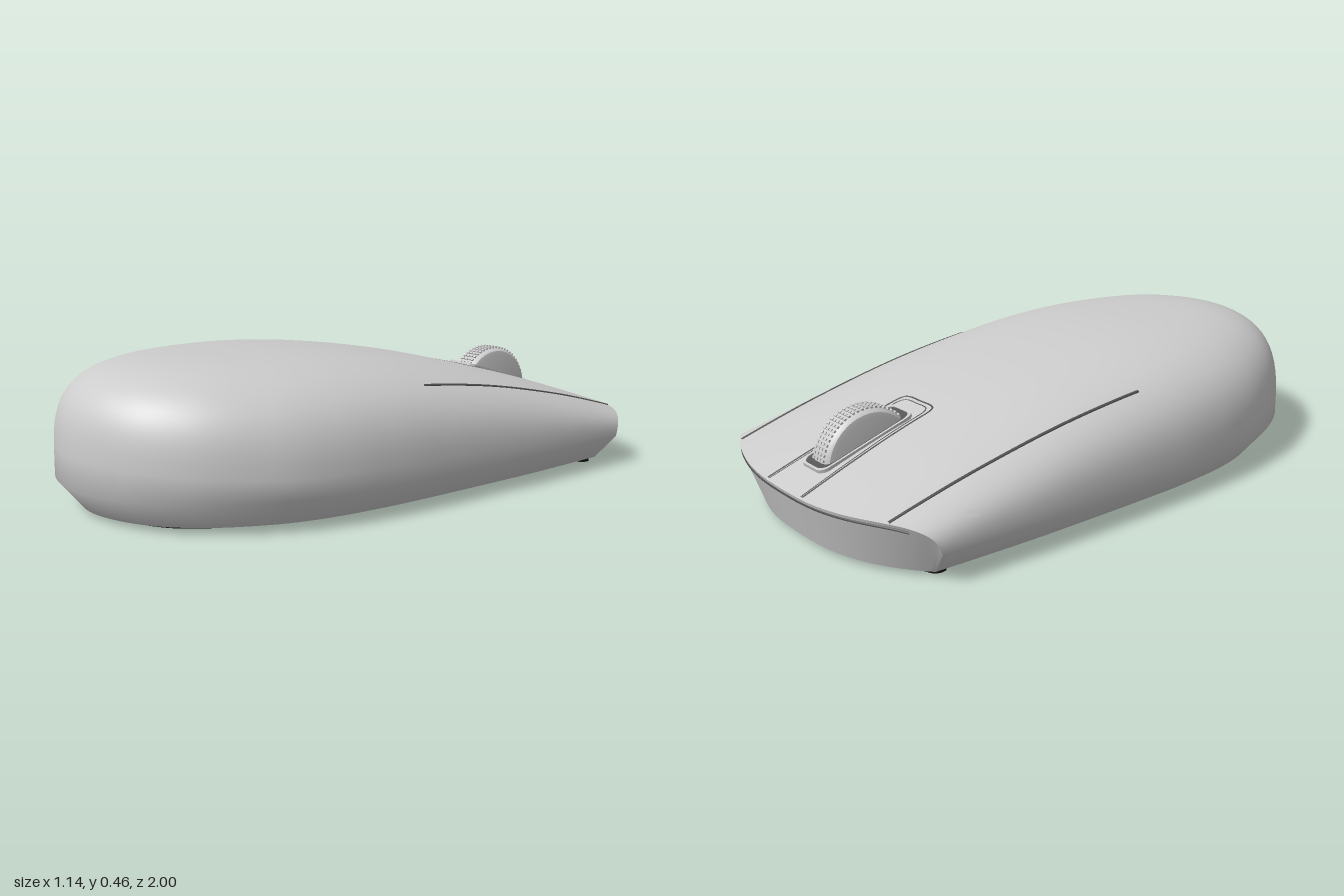
import * as THREE from 'three';
import { toCreasedNormals, mergeGeometries } from 'three/addons/utils/BufferGeometryUtils.js';

const V = (x, y, z) => new THREE.Vector3(x, y, z);
const grey = new THREE.MeshStandardMaterial({ color: 0xcccccc });
const seamMat = new THREE.MeshStandardMaterial({ color: 0x555555 });
const black = new THREE.MeshStandardMaterial({ color: 0x151515 });

const BASE = 0.015, WAIST = 0.1, SPINE_END = 0.45, INSET = 0.07;

// plan outline, from the nose round the rear and back (z grows to the rear)
const half = [[0.54, -1], [0.56, -0.5], [0.57, 0], [0.568, 0.2], [0.55, 0.4],
  [0.505, 0.58], [0.385, 0.8], [0.22, 0.94]];
const outline = new THREE.CatmullRomCurve3([
  ...half.map(([x, z]) => V(x, 0, z)), V(0, 0, 1),
  ...half.slice().reverse().map(([x, z]) => V(-x, 0, z)),
]).getSpacedPoints(160);

// height of the ridge along the middle
const ridge = [[-1, 0.17], [-0.8, 0.24], [-0.6, 0.302], [-0.3, 0.378], [0, 0.43],
  [0.25, 0.456], [0.5, 0.463], [0.8, 0.46], [1, 0.455]];
const ridgePts = new THREE.SplineCurve(ridge.map(p => new THREE.Vector2(...p))).getPoints(160);
function ridgeY(z) {
  const i = Math.max(1, ridgePts.findIndex(p => p.x >= z));
  const a = ridgePts[i - 1], b = ridgePts[i];
  return a.y + (b.y - a.y) * THREE.MathUtils.clamp((z - a.x) / (b.x - a.x), 0, 1);
}
const topY = (r, z, n = 3) =>
  WAIST + (ridgeY(z) - WAIST) * Math.pow(Math.max(0, 1 - Math.pow(r, n)), 1 / n);
const bulge = r => 0.16 * Math.pow(r, 2.6);

// top surface point for the front two thirds
function onTop(x, z, lift = 0) {
  const w = outline.find(p => p.z >= z).x;
  const r = Math.abs(x) / w;
  return V(x, topY(r, z) + lift, z);
}

function bodyGeometry() {
  const N = 24, pos = [], idx = [], row = 2 * N + 2;
  for (const p of outline) {
    const zs = Math.min(p.z, SPINE_END);
    const len = Math.hypot(p.x, p.z - zs);
    const n = 3 + (p.z > zs ? ((p.z - zs) / len) ** 2 : 0);
    const front = THREE.MathUtils.clamp((-0.4 - p.z) / 0.6, 0, 1);
    for (let k = 0; k < row; k++) {
      const top = k <= N, i = top ? k : row - 1 - k;
      const r = i === 0 ? 0 : i === N ? 1 : Math.pow(Math.sin((i / N) * Math.PI / 2), 2 / 3);
      const s = top ? r : r * (1 - INSET / len);
      let z = zs + (p.z - zs) * s + bulge(r) * front;
      const y = top ? topY(r, z, n) : BASE;
      // the nose leans back towards the base
      z += 0.05 * front * Math.max(0, 1 - y / 0.17);
      pos.push(p.x * s, y, z);
    }
  }
  const last = outline.length - 1;
  for (let j = 0; j < last; j++) for (let k = 0; k < row - 1; k++) {
    const a = j * row + k, b = a + row;
    idx.push(a, b, a + 1, b, b + 1, a + 1);
  }
  // nose wall, one half per end station
  for (let k = 0; k < N; k++) {
    for (const [o, left] of [[0, true], [last * row, false]]) {
      const t0 = o + k, t1 = o + k + 1, b0 = o + row - 1 - k, b1 = b0 - 1;
      if (left) idx.push(t1, b1, t0, b1, b0, t0);
      else idx.push(t0, b0, t1, b0, b1, t1);
    }
  }
  const g = new THREE.BufferGeometry();
  g.setAttribute('position', new THREE.Float32BufferAttribute(pos, 3));
  g.setIndex(idx);
  return toCreasedNormals(g.toNonIndexed(), 0.76);
}

// flat round-ended strip that follows a curve on the underside
function footGeometry(pts, width) {
  const c = new THREE.CatmullRomCurve3(pts.map(([x, z]) => V(x, z, 0)));
  const M = 40, sideA = [], sideB = [], h = width / 2;
  const cap = (p, ang) => {
    const out = [];
    for (let i = 1; i < 8; i++) {
      const a = ang - (i / 8) * Math.PI;
      out.push(new THREE.Vector2(p.x + h * Math.cos(a), p.y + h * Math.sin(a)));
    }
    return out;
  };
  for (let i = 0; i <= M; i++) {
    const p = c.getPoint(i / M), t = c.getTangent(i / M);
    sideA.push(new THREE.Vector2(p.x - t.y * h, p.y + t.x * h));
    sideB.unshift(new THREE.Vector2(p.x + t.y * h, p.y - t.x * h));
  }
  const t0 = c.getTangent(0), t1 = c.getTangent(1);
  const loop = [...sideA, ...cap(c.getPoint(1), Math.atan2(t1.x, -t1.y)),
    ...sideB, ...cap(c.getPoint(0), Math.atan2(-t0.x, t0.y))];
  const g = new THREE.ExtrudeGeometry(new THREE.Shape(loop), { depth: 0.02, bevelEnabled: false });
  return g.rotateX(Math.PI / 2).translate(0, 0.02, 0);
}

export function createModel() {
  const model = new THREE.Group();
  const add = (name, geo, mat = grey) => {
    const m = new THREE.Mesh(geo, mat);
    m.name = name;
    model.add(m);
    return m;
  };
  const seam = (name, pts, radius = 0.006) => add(name,
    new THREE.TubeGeometry(new THREE.CatmullRomCurve3(pts), 80, radius, 6), seamMat);

  add('body', bodyGeometry());

  // seams either side of the buttons
  for (const s of [1, -1]) {
    const pts = [];
    for (let i = 0; i <= 12; i++) {
      const t = i / 12;
      pts.push(onTop(s * (0.42 + 0.03 * t), -0.91 + 0.92 * t, -0.003));
    }
    seam(s > 0 ? 'leftButtonSeam' : 'rightButtonSeam', pts);
  }

  // U-shaped seams around the wheel panel
  const panel = (x0, x1, zEnd) => {
    const right = [];
    for (let i = 0; i <= 8; i++) {
      const t = i / 8;
      right.push([x0 + (x1 - x0) * t, -0.99 + (zEnd - 0.025 + 0.99) * t]);
    }
    right.push([x1 - 0.008, zEnd - 0.007], [x1 - 0.025, zEnd], [0, zEnd]);
    const left = right.slice(0, -1).reverse().map(([x, z]) => [-x, z]);
    return [...right, ...left].map(([x, z]) => onTop(x, z, -0.002));
  };
  seam('panelSeamOuter', panel(0.1, 0.082, -0.5), 0.004);
  seam('panelSeamInner', panel(0.092, 0.068, -0.515), 0.003);

  // seam under the lip of the nose
  const lip = [];
  for (let i = -12; i <= 12; i++) {
    const r = Math.abs(i) / 12 * 0.88, z = -1 + bulge(r);
    lip.push(V(Math.sign(i) * 0.54 * r, topY(r, z) - 0.014, z + 0.006));
  }
  seam('noseSeam', lip, 0.005);

  // wheel slot, tilted to lie in the top surface
  const slot = (w, l) => {
    const s = new THREE.Shape(), r = 0.03;
    s.absarc(w - r, l - r, r, 0, Math.PI / 2);
    s.absarc(r - w, l - r, r, Math.PI / 2, Math.PI);
    s.absarc(r - w, r - l, r, Math.PI, Math.PI * 1.5);
    s.absarc(w - r, r - l, r, Math.PI * 1.5, Math.PI * 2);
    return s;
  };
  const rim = slot(0.064, 0.176);
  rim.holes.push(slot(0.056, 0.168));
  const place = (m, lift) => {
    m.position.set(0, ridgeY(-0.73) + lift, -0.73);
    m.rotation.x = -Math.PI / 2 - Math.atan(0.315);
  };
  place(add('wheelSlot', new THREE.ExtrudeGeometry(slot(0.06, 0.172),
    { depth: 0.02, bevelEnabled: false }), seamMat), -0.016);
  place(add('slotRim', new THREE.ExtrudeGeometry(rim,
    { depth: 0.02, bevelEnabled: false })), -0.013);

  // scroll wheel with a ribbed tread
  const wheel = new THREE.Group();
  wheel.name = 'scrollWheel';
  wheel.position.set(0, 0.2, -0.715);
  const profile = [[0, -0.048], [0.135, -0.048], [0.15, -0.045], [0.158, -0.036], [0.161, -0.02],
    [0.161, 0.02], [0.158, 0.036], [0.15, 0.045], [0.135, 0.048], [0, 0.048]];
  const tyre = new THREE.Mesh(toCreasedNormals(new THREE.LatheGeometry(
    profile.map(p => new THREE.Vector2(...p)), 64).rotateZ(-Math.PI / 2), 0.6), grey);
  tyre.name = 'wheelTyre';
  const ribs = [];
  for (let i = 0; i < 64; i++) for (const x of [-0.024, -0.008, 0.008, 0.024]) {
    ribs.push(new THREE.BoxGeometry(0.012, 0.01, 0.008)
      .translate(x, 0.16, 0).rotateX((i / 64) * Math.PI * 2));
  }
  const tread = new THREE.Mesh(mergeGeometries(ribs), grey);
  tread.name = 'wheelTread';
  wheel.add(tyre, tread);
  model.add(wheel);

  // glide feet
  add('frontFoot', footGeometry([[-0.43, -0.765], [-0.23, -0.828], [0, -0.85],
    [0.23, -0.828], [0.43, -0.765]], 0.06), black);
  add('rearFoot', footGeometry([[-0.3, 0.67], [-0.23, 0.765], [-0.12, 0.83], [0, 0.85],
    [0.12, 0.83], [0.23, 0.765], [0.3, 0.67]], 0.06), black);

  return model;
}
